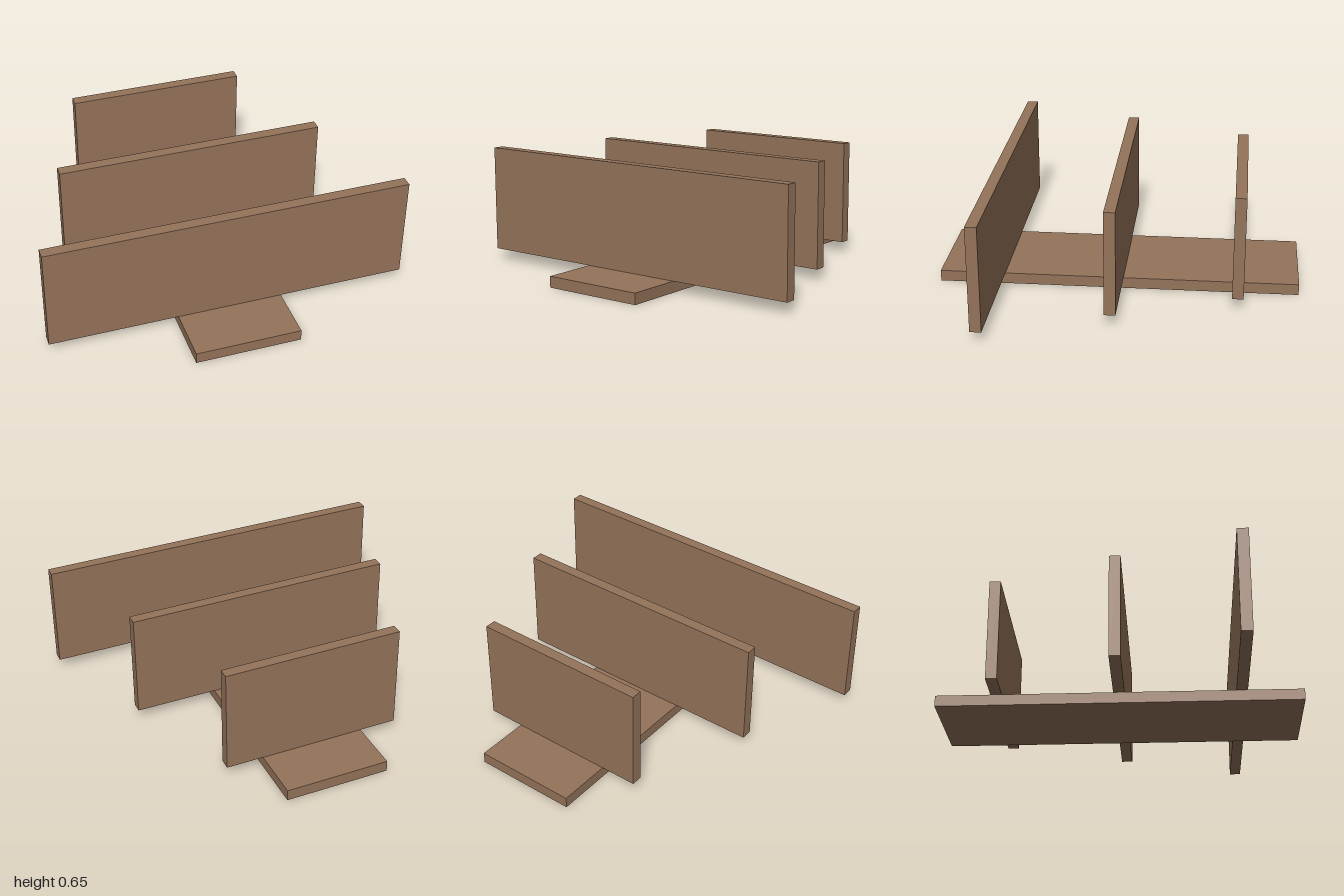
import * as THREE from 'three';

export function createModel() {
  const model = new THREE.Group();
  const wood = new THREE.MeshStandardMaterial({ color: 0x94735a });
  wood.name = 'brown wood';

  const thickness = 0.062;
  const boardWidth = 0.584;

  function addBoard(name, width, height, depth, y, z) {
    const board = new THREE.Mesh(new THREE.BoxGeometry(width, height, depth), wood);
    board.name = name;
    board.position.set(0, y + height / 2, z);
    model.add(board);
  }

  // Flat plank running front to back
  addBoard('basePlank', boardWidth, thickness, 2, 0, 0);

  // Upright dividers, growing wider towards the front
  const dividers = [
    ['backDivider', 1, -0.667],
    ['middleDivider', 1.5, 0],
    ['frontDivider', 2, 0.664],
  ];
  for (const [name, width, z] of dividers) {
    addBoard(name, width, boardWidth, thickness, thickness, z);
  }

  return model;
}
